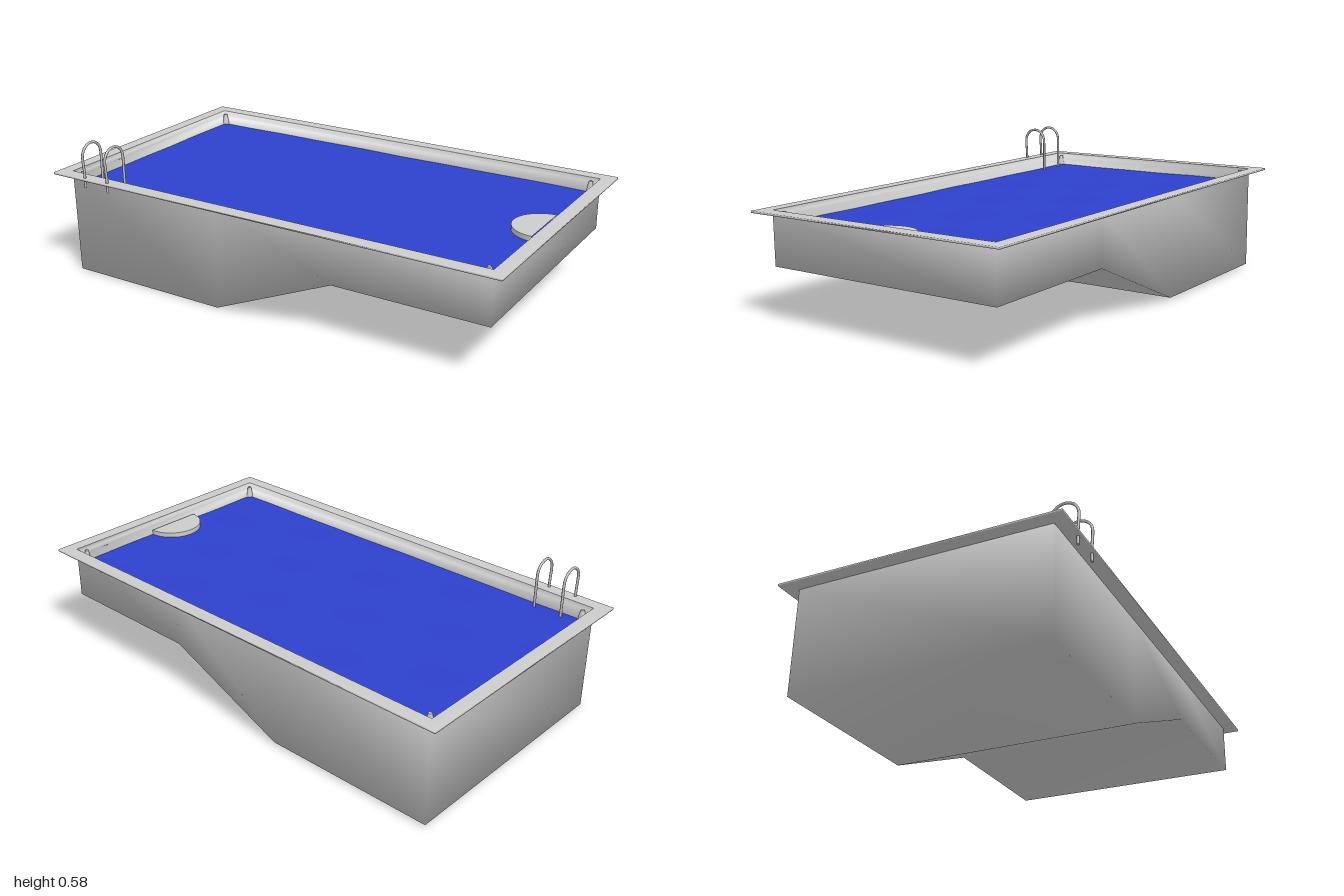
import * as THREE from 'three';

const mat = (name, color, side = THREE.FrontSide) => {
  const m = new THREE.MeshStandardMaterial({ color, side });
  m.name = name;
  return m;
};

const add = (parent, name, geometry, material) => {
  const mesh = new THREE.Mesh(geometry, material);
  mesh.name = name;
  parent.add(mesh);
  return mesh;
};

const indexed = (positions, indices) => {
  const g = new THREE.BufferGeometry();
  g.setAttribute('position', new THREE.Float32BufferAttribute(positions, 3));
  g.setIndex(indices);
  g.computeVertexNormals();
  return g;
};

// Rectangular rings [half width, half depth, height] joined by smooth strips
function ringLoft(rings) {
  const p = [], idx = [];
  for (const [x, z, y] of rings) p.push(-x, y, z, x, y, z, x, y, -z, -x, y, -z);
  for (let r = 0; r < rings.length - 1; r++) {
    for (let i = 0; i < 4; i++) {
      const j = (i + 1) % 4, a = r * 4 + i, b = r * 4 + j;
      idx.push(a, b, b + 4, a, b + 4, a + 4);
    }
  }
  return indexed(p, idx);
}

// Shell with a deep end, a sloping floor and a shallow end
function basinGeometry(top, halfDepth) {
  const floor = [[-0.945, 0], [-0.22, 0], [0.31, 0.227], [0.945, 0.227]];
  const p = [], idx = [];
  for (const [x, y] of floor) {
    p.push(x, top, halfDepth, x, y, halfDepth, x, y, -halfDepth, x, top, -halfDepth);
  }
  const quad = (a, b, c, d) => idx.push(a, b, c, a, c, d);
  for (let s = 0; s < floor.length - 1; s++) {
    for (let k = 0; k < 3; k++) {
      const a = s * 4 + k;
      quad(a, a + 1, a + 5, a + 4);
    }
  }
  quad(3, 2, 1, 0);
  const e = (floor.length - 1) * 4;
  quad(e, e + 1, e + 2, e + 3);
  return indexed(p, idx);
}

export function createModel() {
  const root = new THREE.Group();
  root.name = 'swimmingPool';
  const pool = new THREE.Group();
  pool.name = 'pool';
  pool.rotation.x = 0.0095; // the whole pool leans slightly to the front
  pool.position.set(0, 0.005, -0.004);
  root.add(pool);

  const concrete = mat('paleGrey', 0xcccccc, THREE.DoubleSide);
  const metal = mat('railGrey', 0xb8b8b8);
  const blue = mat('waterBlue', 0x2d40cc, THREE.DoubleSide);

  add(pool, 'basin', basinGeometry(0.435, 0.515), concrete);

  // Deck rim and the stepped inner wall
  add(pool, 'deckRim', ringLoft([
    [0.945, 0.515, 0.433], [1, 0.57, 0.433], [1, 0.57, 0.441], [0.945, 0.515, 0.441],
  ]), concrete);
  add(pool, 'innerCoping', ringLoft([
    [0.945, 0.515, 0.441], [0.94, 0.51, 0.425], [0.925, 0.495, 0.418], [0.915, 0.484, 0.37],
  ]), concrete);

  // Water surface with faint ripples
  const water = new THREE.PlaneGeometry(1.83, 0.968, 40, 22).rotateX(-Math.PI / 2);
  const wp = water.attributes.position;
  for (let i = 0; i < wp.count; i++) {
    const x = wp.getX(i), z = wp.getZ(i);
    wp.setY(i, 0.0012 * Math.sin(11 * x + 5 * z) * Math.cos(13 * z - 4 * x));
  }
  water.computeVertexNormals();
  add(pool, 'water', water, blue).position.y = 0.39;

  // Half-round entry step at the shallow end
  const step = new THREE.CylinderGeometry(0.122, 0.122, 0.045, 32, 1, false, Math.PI, Math.PI);
  add(pool, 'entryStep', step, concrete).position.set(0.915, 0.388, -0.003);

  // Small posts in the inner corners
  for (const sx of [-1, 1]) {
    for (const sz of [-1, 1]) {
      add(pool, 'cornerPost', new THREE.CylinderGeometry(0.008, 0.02, 0.06, 6), concrete)
        .position.set(sx * 0.916, 0.405, sz * 0.485);
    }
  }

  // Pair of arched handrails
  const r = 0.0525, zc = 0.506, yc = 0.527;
  const points = [[0.555, 0.4], [0.555, 0.46]];
  for (let i = 0; i <= 10; i++) {
    const a = Math.PI * i / 10;
    points.push([zc + r * Math.cos(a), yc + r * Math.sin(a)]);
  }
  points.push([0.4535, 0.46], [0.4535, 0.39]);
  const arch = new THREE.CatmullRomCurve3(points.map(([z, y]) => new THREE.Vector3(0, y, z)));
  const tube = new THREE.TubeGeometry(arch, 48, 0.0055, 10, false);
  for (const x of [-0.84, -0.72]) {
    const rail = new THREE.Group();
    rail.name = 'handrail';
    rail.position.x = x;
    add(rail, 'railTube', tube, metal);
    const cap = new THREE.CircleGeometry(0.0055, 10).rotateX(Math.PI / 2);
    add(rail, 'railEnd', cap, metal).position.set(0, 0.4, 0.555);
    pool.add(rail);
  }
  return root;
}
